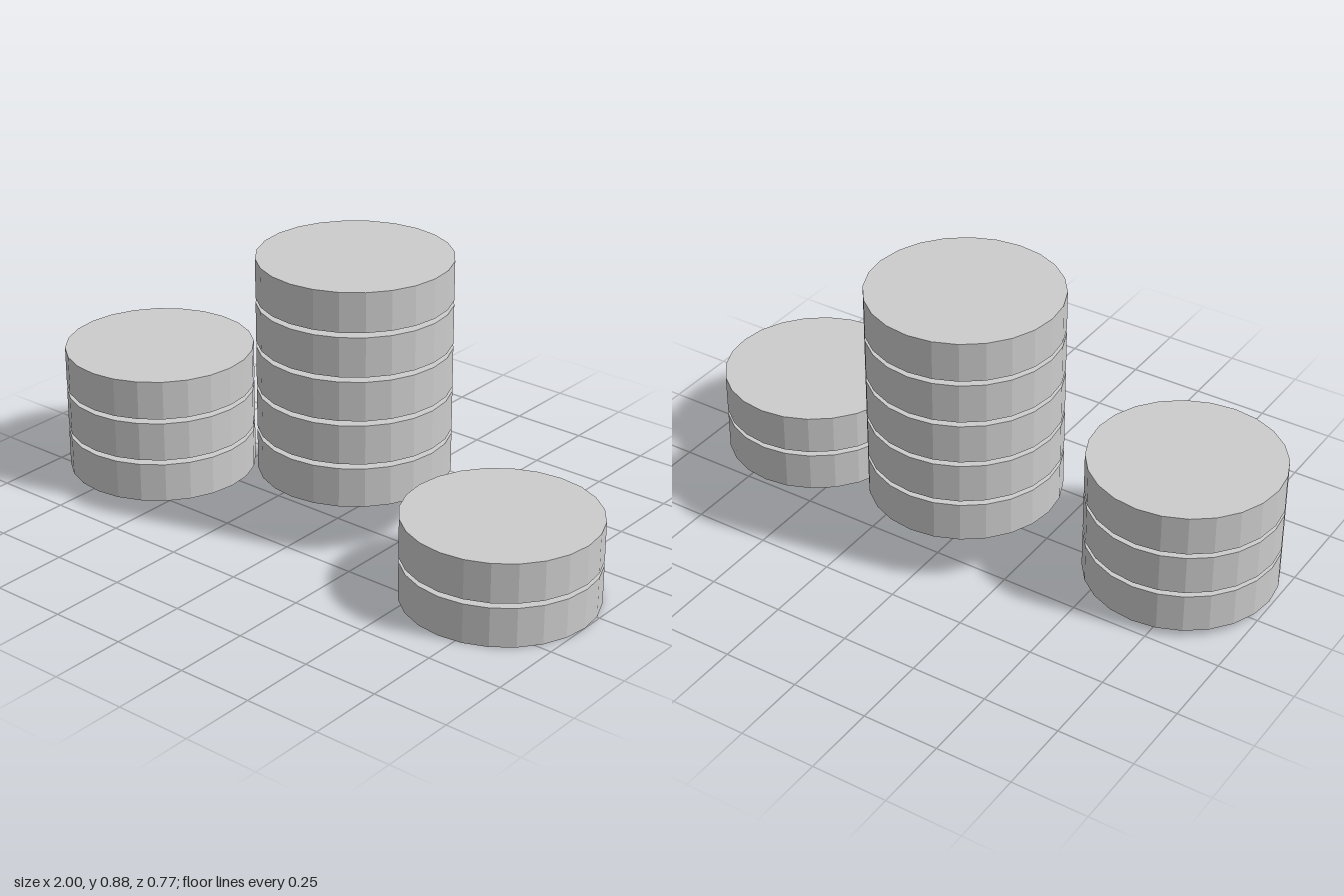
import * as THREE from 'three';

const RADIUS = 0.308, HEIGHT = 0.129, PITCH = 0.1447, SIDES = 24;

export function createModel() {
  const model = new THREE.Group();
  model.name = 'discStacks';

  const grey = new THREE.MeshStandardMaterial({ color: 0xcccccc });
  grey.name = 'lightGrey';

  // One faceted disc shared by every stack
  const disc = new THREE.CylinderGeometry(RADIUS, RADIUS, HEIGHT, SIDES).toNonIndexed();
  disc.computeVertexNormals();

  // Evenly spaced discs with a narrow gap between them
  function addStack(name, x, base, z, count) {
    const stack = new THREE.Group();
    stack.name = name;
    stack.position.set(x, base, z);
    for (let i = 0; i < count; i++) {
      const mesh = new THREE.Mesh(disc, grey);
      mesh.name = `${name}Disc${i + 1}`;
      mesh.position.y = HEIGHT / 2 + i * PITCH;
      stack.add(mesh);
    }
    model.add(stack);
  }

  addStack('rightStack', -0.692, 0.024, 0.075, 3);
  addStack('middleStack', 0.008, 0.172, -0.075, 5);
  addStack('leftStack', 0.692, 0, 0.075, 2);

  return model;
}
